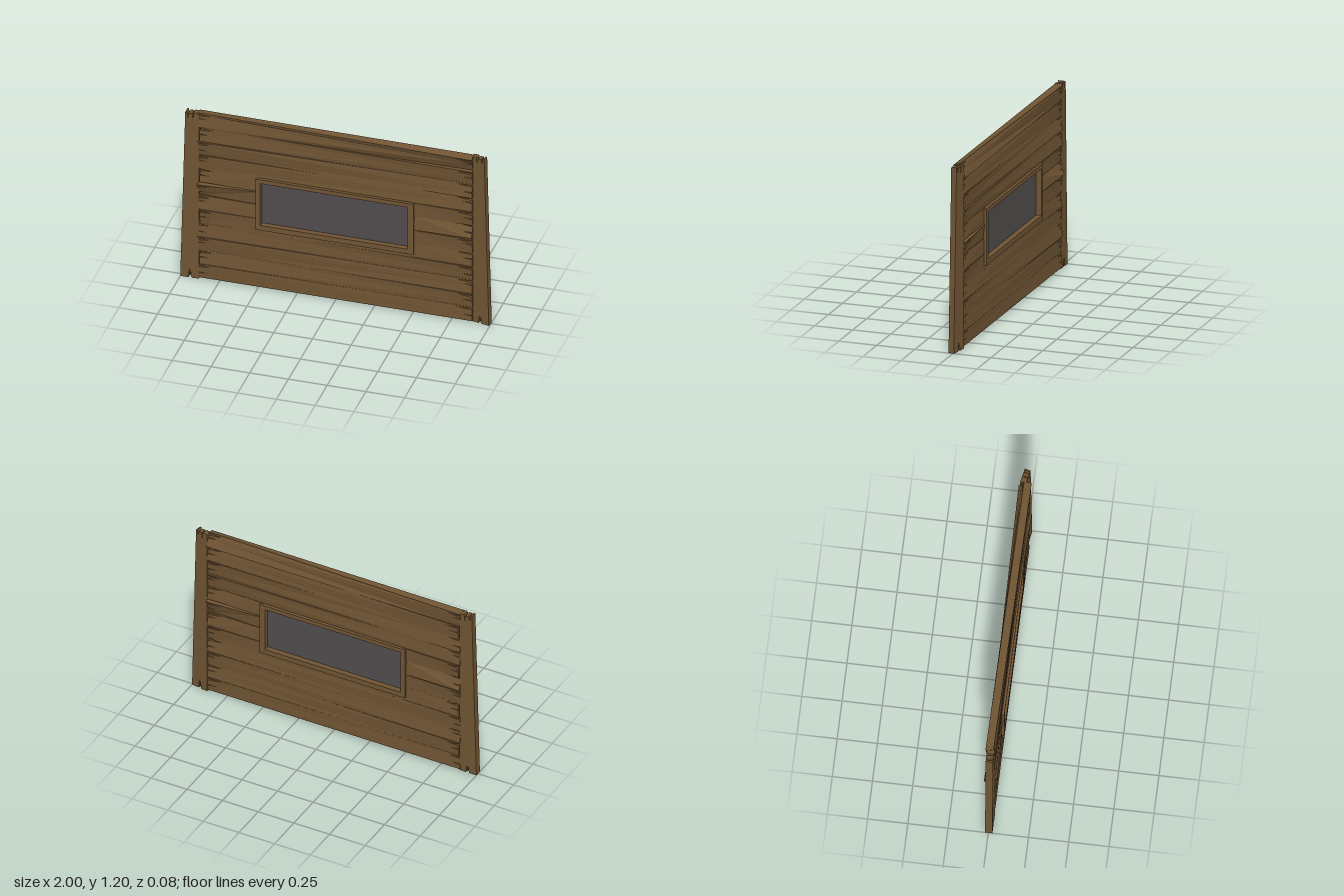
import * as THREE from 'three';

const wood = new THREE.MeshStandardMaterial({ color: 0x6f5433 });
wood.name = 'brown wood';
const glass = new THREE.MeshStandardMaterial({ color: 0x504c4d });
glass.name = 'dark glass';

function addMesh(parent, name, geometry, material) {
  const mesh = new THREE.Mesh(geometry, material);
  mesh.name = name;
  parent.add(mesh);
  return mesh;
}

// Flat outline pushed out along z and centred on z = 0
function slab(points, depth, hole) {
  const shape = new THREE.Shape(points.map(([x, y]) => new THREE.Vector2(x, y)));
  if (hole) shape.holes.push(new THREE.Path(hole.map(([x, y]) => new THREE.Vector2(x, y))));
  const geometry = new THREE.ExtrudeGeometry(shape, { depth, bevelEnabled: false });
  return geometry.translate(0, 0, -depth / 2);
}

const rect = (x0, x1, y0, y1) => [[x0, y0], [x1, y0], [x1, y1], [x0, y1]];

// Board with split ends, twisted about its long axis from angle a0 to a1
function plank({ x0, x1, y0, y1, a0, a1, depth = 0.05, splitLeft, splitRight, i }) {
  const pts = [[x0, y0], [x1, y0]];
  const low = 0.036 + 0.012 * (i % 3);
  const high = 0.084;
  if (splitRight) {
    pts.push([x1, y0 + low - 0.003], [x1 - 0.06, y0 + low + 0.004], [x1, y0 + low + 0.004]);
    pts.push([x1, y0 + high - 0.008], [x1 - 0.1, y0 + high + 0.004], [x1, y0 + high + 0.005]);
  }
  pts.push([x1, y1], [x0, y1]);
  if (splitLeft) {
    pts.push([x0, y0 + high + 0.005], [x0 + 0.085, y0 + high], [x0, y0 + high - 0.007]);
    pts.push([x0, y0 + low + 0.003], [x0 + 0.06, y0 + low], [x0, y0 + low - 0.003]);
  }
  const geometry = slab(pts, depth);
  const pos = geometry.attributes.position;
  const yc = (y0 + y1) / 2;
  for (let k = 0; k < pos.count; k++) {
    const angle = THREE.MathUtils.lerp(a0, a1, (pos.getX(k) - x0) / (x1 - x0));
    const y = pos.getY(k) - yc;
    const z = pos.getZ(k);
    pos.setY(k, yc + y * Math.cos(angle) - z * Math.sin(angle));
    pos.setZ(k, y * Math.sin(angle) + z * Math.cos(angle));
  }
  geometry.computeVertexNormals();
  return geometry;
}

export function createModel() {
  const model = new THREE.Group();
  model.name = 'plankWallWithWindow';

  // Horizontal planks: twist at the left and right end of each, bottom to top
  const twists = [
    [0.05, -0.04], [-0.08, 0.08], [0.1, -0.06], [-0.05, 0.1], [0.08, -0.12], [-0.1, 0.1],
    [0.38, -0.38], [-0.12, 0.1], [0.06, -0.14], [0.14, -0.1], [-0.06, 0.14], [-0.12, 0.36],
  ];
  const planks = new THREE.Group();
  planks.name = 'planks';
  model.add(planks);
  twists.forEach(([a0, a1], i) => {
    const y0 = 0.012 + i * 0.0983;
    const base = { y0, y1: y0 + 0.0978, i };
    const left = i % 3 === 1 ? -0.875 : -0.89;
    const right = 0.885;
    if (i >= 4 && i <= 7) {
      // Planks interrupted by the window
      addMesh(planks, 'leftPlank' + i, plank({ ...base, x0: left, x1: -0.49, a0, a1: a0 * 0.3, splitLeft: true }), wood);
      addMesh(planks, 'rightPlank' + i, plank({ ...base, x0: 0.49, x1: right, a0: a1 * 0.3, a1, splitRight: true }), wood);
    } else {
      addMesh(planks, 'plank' + i, plank({ ...base, x0: left, x1: right, a0, a1, splitLeft: true, splitRight: true }), wood);
    }
  });
  addMesh(planks, 'sillPlank', slab(rect(-0.5, 0.5, 0.4, 0.45), 0.05), wood);

  // Window frame and pane
  addMesh(model, 'windowFrame', slab(rect(-0.51, 0.51, 0.43, 0.795), 0.08, rect(-0.48, 0.473, 0.465, 0.767)), wood);
  addMesh(model, 'windowPane', new THREE.BoxGeometry(0.96, 0.31, 0.009), glass).position.set(-0.003, 0.616, 0);

  // Side posts, tapered upwards with split ends; u runs from the inner edge outwards
  const postOutline = [
    [0, 0.002], [0.046, 0], [0.054, 0.055], [0.058, 0.012], [0.062, 0.06], [0.068, 0],
    [0.12, 0], [0.088, 1.19], [0.078, 1.192], [0.072, 1.15], [0.066, 1.185],
    [0.044, 1.185], [0.038, 1.145], [0.034, 1.19], [0, 1.188],
  ];
  for (const side of [-1, 1]) {
    const points = postOutline.map(([u, y]) => [side * u, y]);
    const post = addMesh(model, side < 0 ? 'rightPost' : 'leftPost', slab(points, side < 0 ? 0.046 : 0.038), wood);
    post.position.set(side * 0.88, 0, side < 0 ? 0.003 : -0.012);
    if (side > 0) post.rotation.y = -0.2;
  }
  return model;
}
